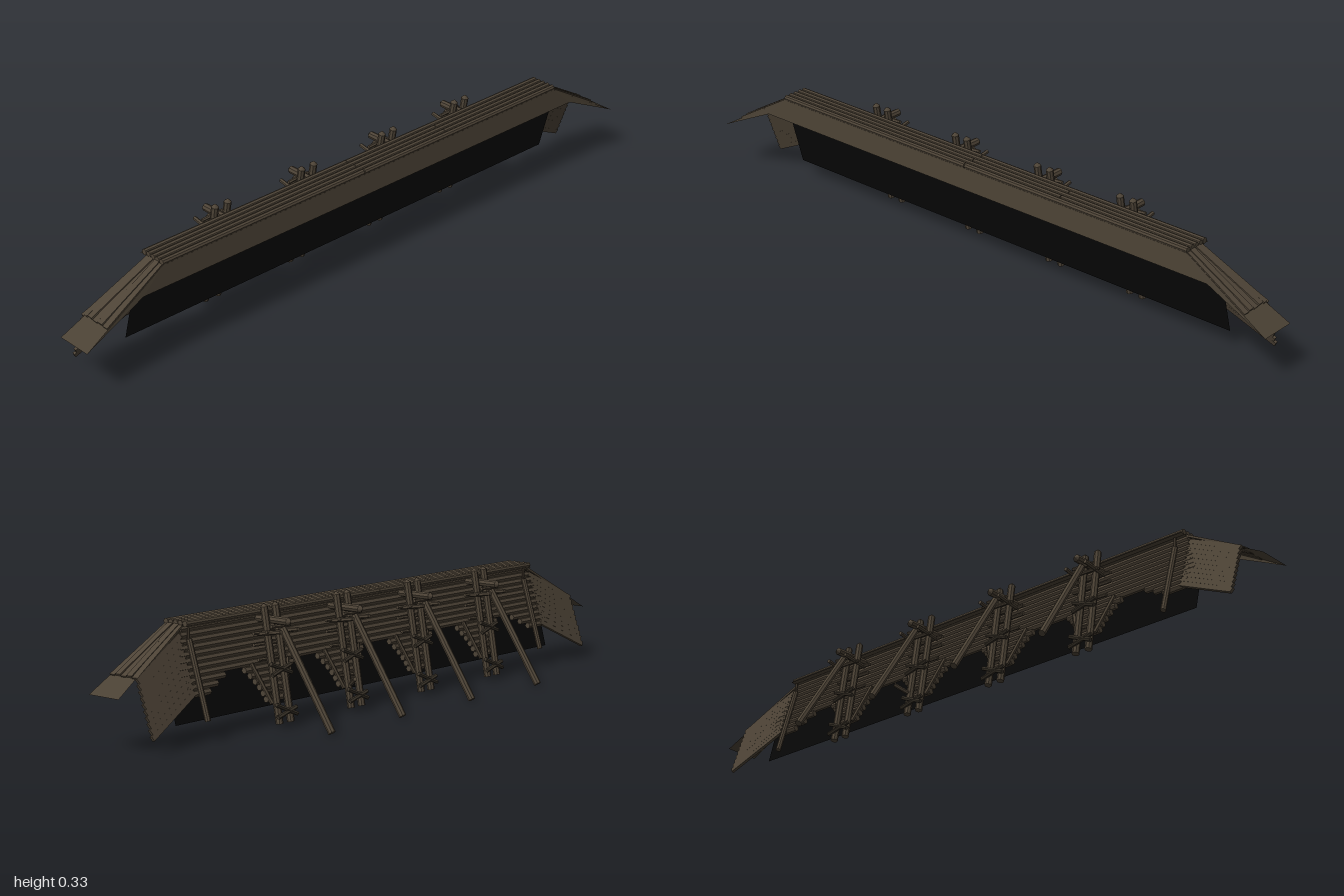
import * as THREE from 'three';

const V = (x, y, z) => new THREE.Vector3(x, y, z);

export function createModel() {
  const model = new THREE.Group();
  const mat = (name, color, side = THREE.FrontSide) => {
    const m = new THREE.MeshStandardMaterial({ color, side, flatShading: true });
    m.name = name;
    return m;
  };
  const wood = mat('weathered wood', 0x4d4336);
  const darkWood = mat('dark wood', 0x3a3329);
  const board = mat('board wood', 0x4a4134, THREE.DoubleSide);
  const black = mat('black cloth', 0x060606, THREE.DoubleSide);

  // Round log from a to b; a positive tip sharpens the far end
  function log(name, a, b, r, { tip = 0, sides = 8, material = wood, parent = model } = {}) {
    const d = b.clone().sub(a), len = d.length();
    const profile = [[0, 0], [r, 0], [r, len - tip], [0, len]].map(p => new THREE.Vector2(...p));
    const mesh = new THREE.Mesh(new THREE.LatheGeometry(profile, sides), material);
    mesh.position.copy(a);
    mesh.quaternion.setFromUnitVectors(V(0, 1, 0), d.normalize());
    mesh.name = name;
    parent.add(mesh);
  }

  // Flat sawn plank from a to b, its broad face turned towards up
  function plank(name, a, b, width, thickness, up) {
    const mesh = new THREE.Mesh(new THREE.BoxGeometry(width, thickness, a.distanceTo(b)), wood);
    mesh.position.copy(a).lerp(b, 0.5);
    mesh.up.copy(up);
    mesh.lookAt(b);
    mesh.name = name;
    model.add(mesh);
  }

  // Flat panel from corners in order
  function panel(name, pts, material) {
    const g = new THREE.BufferGeometry().setFromPoints(pts);
    const idx = [];
    for (let i = 1; i < pts.length - 1; i++) idx.push(0, i, i + 1);
    g.setIndex(idx);
    g.computeVertexNormals();
    const mesh = new THREE.Mesh(g, material);
    mesh.name = name;
    model.add(mesh);
  }

  // Leaning wall line and leaning post line
  const wallZ = y => 0.03 + (y - 0.06) * 0.335;
  const postZ = y => 0.003 + (y - 0.015) * 0.172;
  const supports = [-0.45, -0.14, 0.165, 0.455];

  // Roof logs, each in two lengths
  for (let i = 0; i < 5; i++) {
    const z = 0.09 + i * 0.0175, joint = i % 2 ? 0.3 : -0.03;
    log('roofLog', V(-0.74, 0.31, z), V(joint, 0.31, z), 0.0085);
    log('roofLog', V(joint + 0.003, 0.31, z), V(0.74, 0.31, z), 0.0085);
  }
  panel('roofBoard', [V(-0.74, 0.303, 0.075), V(-0.74, 0.303, 0.165),
    V(0.74, 0.303, 0.165), V(0.74, 0.303, 0.075)], board);

  // Front fascia
  panel('fascia', [V(-0.74, 0.303, 0.165), V(-0.81, 0.24, 0.17),
    V(0.81, 0.24, 0.17), V(0.74, 0.303, 0.165)], board);

  // Black curtain in front of the wall
  panel('curtain', [V(-0.79, 0.27, 0.115), V(-0.79, 0.056, 0.058),
    V(0.81, 0.056, 0.058), V(0.81, 0.27, 0.115)], black);

  // Wall courses: full length above, stepped stacks around the supports below
  for (let y = 0.295; y > 0.07; y -= 0.0165) {
    const z = wallZ(y);
    if (y > 0.165) {
      const end = Math.min(0.79, 0.74 + (0.3 - y) * 0.4);
      log('wallLog', V(-end, y, z), V(end, y, z), 0.0093, { sides: 6 });
    } else {
      const t = (y - 0.05) / 0.115, half = 0.035 + 0.06 * t * t;
      for (const x of supports) log('lowerWallLog', V(x - half, y, z), V(x + half, y, z), 0.0093, { sides: 6 });
      if (y > 0.125) for (const s of [-1, 1]) {
        log('lowerWallLog', V(s * (0.7 - (y - 0.125) * 2), y, z), V(s * 0.78, y, z), 0.0093, { sides: 6 });
      }
    }
  }

  for (const s of [-1, 1]) {
    // Sloping wing roof, narrow at the ridge, with its front edge board
    panel('wingRoof', [V(s * 0.74, 0.303, 0.105), V(s * 0.74, 0.303, 0.165),
      V(s, 0.152, 0.175), V(s, 0.152, 0.066)], board);
    panel('wingFascia', [V(s * 0.74, 0.303, 0.165), V(s * 0.81, 0.24, 0.17),
      V(s * 0.94, 0.18, 0.173), V(s, 0.152, 0.175)], board);

    // Planks fanning down the wing roof
    for (let i = 0; i < 5; i++) {
      const lift = 0.002 + (i % 2) * 0.003;
      plank('wingPlank', V(s * 0.74, 0.301 + lift, 0.109 + i * 0.0115),
        V(s * 0.93, 0.192 + lift, 0.079 + i * 0.0208), 0.018, 0.006, V(0, 1, 0));
    }

    // Wing wall planks, parallel to the roof slope
    for (let i = 0; i < 10; i++) {
      const t = i / 9;
      const inner = V(s * 0.75, 0.28 - 0.145 * t, 0.1 - 0.05 * t);
      const outer = V(s * 0.93, 0.188 - 0.142 * t, 0.07 - 0.05 * t);
      const normal = outer.clone().sub(inner).cross(V(0, -0.142, -0.05)).normalize();
      plank('wingWallPlank', inner, outer, 0.0148, 0.008, normal);
    }

    // Thin end props
    const px = s * 0.72 + 0.01;
    log('endProp', V(px, 0.06, 0.02), V(px, 0.27, 0.085), 0.008);
    log('endUpright', V(px, 0.2, 0.087), V(px, 0.3, 0.087), 0.004, { sides: 6 });
  }

  // Support trestles
  for (const x of supports) {
    const trestle = new THREE.Group();
    trestle.name = 'trestle';
    trestle.position.x = x;
    model.add(trestle);
    const opt = { parent: trestle };

    // Paired pointed posts, top beam and rear brace
    for (const s of [-1, 1]) {
      log('post', V(s * 0.022, 0.015, postZ(0.015)), V(s * 0.022, 0.337, postZ(0.337)), 0.0105, { tip: 0.01, ...opt });
      log('binding', V(s * 0.036, 0.255, 0.066), V(s * 0.034, 0.268, -0.016), 0.006, { sides: 6, ...opt });
    }
    log('topBeam', V(0, 0.291, 0.15), V(0, 0.291, -0.021), 0.011, { tip: 0.01, ...opt });
    log('rearBrace', V(0, 0.01, -0.165), V(0, 0.272, 0.01), 0.0105, opt);

    // Slanting rungs behind the posts
    for (const [y0, y1] of [[0.036, 0.07], [0.055, 0.036], [0.147, 0.178], [0.17, 0.148]]) {
      log('rung', V(-0.038, y0, postZ(y0) - 0.013), V(0.038, y1, postZ(y1) - 0.013), 0.006, { sides: 6, material: darkWood, ...opt });
    }
    // Cross rods in front of and around the post heads
    for (const [y, dz, half] of [[0.26, -0.018, 0.045], [0.275, -0.03, 0.036], [0.255, 0.017, 0.06],
      [0.225, 0.016, 0.065], [0.185, 0.016, 0.055], [0.1, 0.015, 0.04]]) {
      log('crossRod', V(-half, y, postZ(y) + dz), V(half, y + 0.004, postZ(y) + dz), 0.005, { sides: 6, ...opt });
    }
    // Small struts from the posts to the wall
    for (const s of [-1, 1]) {
      log('strut', V(s * 0.03, 0.07, 0.022), V(s * 0.07, 0.18, 0.06), 0.006, { sides: 6, ...opt });
    }
  }

  // Loose peg on one trestle
  log('peg', V(0.185, 0.082, 0.005), V(0.208, 0.103, -0.03), 0.006, { sides: 6 });

  return model;
}
